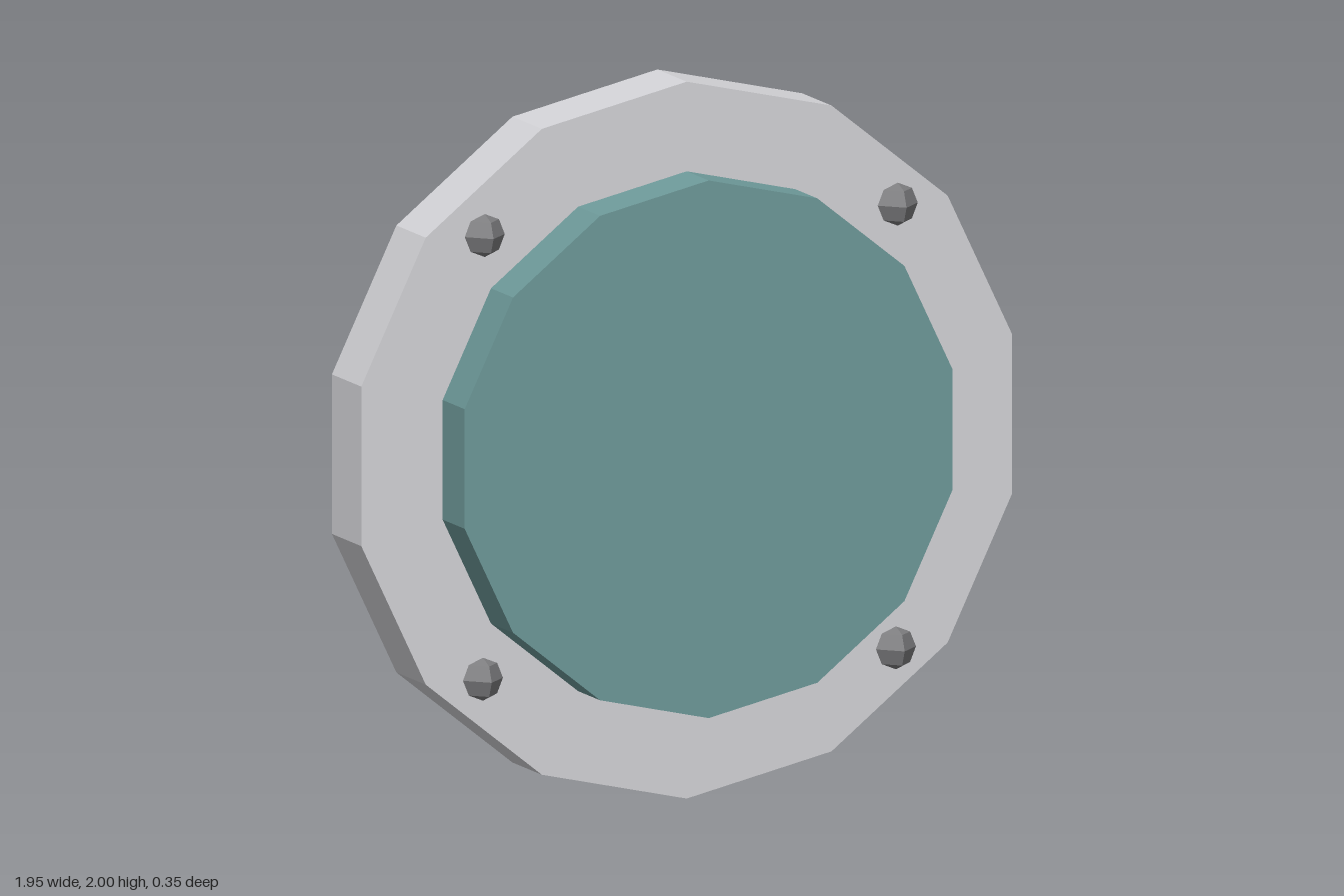
import * as THREE from 'three';

const flat = (name, color) => {
  const m = new THREE.MeshStandardMaterial({ color });
  m.name = name;
  m.flatShading = true;
  return m;
};

// Fourteen-sided disc facing +z, between two depths
function disc(name, radius, back, front, material) {
  const geometry = new THREE.CylinderGeometry(radius, radius, front - back, 14);
  geometry.rotateX(Math.PI / 2);
  const mesh = new THREE.Mesh(geometry, material);
  mesh.name = name;
  mesh.position.set(0, 1, (front + back) / 2);
  return mesh;
}

export function createModel() {
  const group = new THREE.Group();
  group.name = 'roundPanel';
  const paleGrey = flat('paleGrey', 0xd4d4d8);
  const teal = flat('teal', 0x6e9a9a);
  const darkGrey = flat('darkGrey', 0x7c7c7e);

  // Back plate and raised front disc
  group.add(disc('backPlate', 1, -0.175, 0.025, paleGrey));
  group.add(disc('frontDisc', 0.75, 0.025, 0.175, teal));

  // Four faceted rivets around the rim
  const rivetGeometry = new THREE.SphereGeometry(0.06, 4, 4);
  for (let i = 0; i < 4; i++) {
    const angle = 0.781 + (i * Math.PI) / 2;
    const rivet = new THREE.Mesh(rivetGeometry, darkGrey);
    rivet.name = 'rivet' + (i + 1);
    rivet.position.set(0.875 * Math.cos(angle), 1 + 0.875 * Math.sin(angle), 0.05);
    group.add(rivet);
  }
  return group;
}
